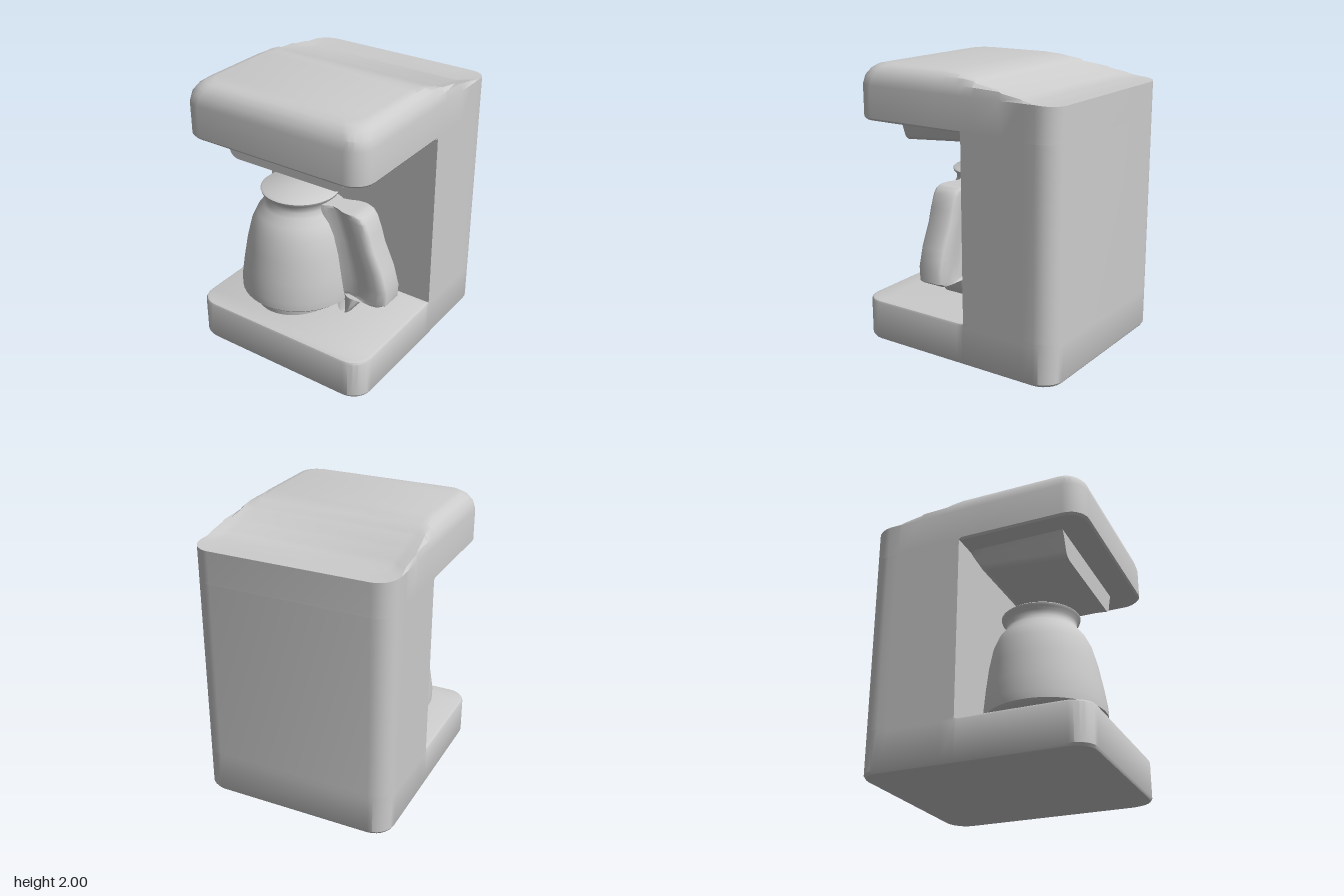
import * as THREE from 'three';
import { toCreasedNormals } from 'three/addons/utils/BufferGeometryUtils.js';

const HALF_W = 0.71, HALF_D = 0.8, CORNER = 0.14, WALL_Z = -0.1;

// Skins a stack of equal-length mirrored rings; caps join point i to its mirror twin.
function loft(rings, capBottom, capTop, crease = 0.6) {
  const pos = [];
  const tri = (a, b, c) => pos.push(...a, ...b, ...c);
  const m = rings[0].length;
  for (let r = 0; r < rings.length - 1; r++) {
    for (let i = 0; i < m; i++) {
      const j = (i + 1) % m, lo = rings[r], hi = rings[r + 1];
      tri(lo[i], lo[j], hi[j]);
      tri(lo[i], hi[j], hi[i]);
    }
  }
  const cap = (ring, keep, up) => {
    for (let i = 0; i < m / 2 - 1; i++) {
      const a = ring[i], b = ring[i + 1], c = ring[m - 2 - i], d = ring[m - 1 - i];
      if (!keep(b[2])) continue;
      if (up) { tri(a, b, c); tri(a, c, d); } else { tri(a, c, b); tri(a, d, c); }
    }
  };
  if (capBottom) cap(rings[0], capBottom, false);
  if (capTop) cap(rings[rings.length - 1], capTop, true);
  const g = new THREE.BufferGeometry();
  g.setAttribute('position', new THREE.Float32BufferAttribute(pos, 3));
  return toCreasedNormals(g, crease);
}

// Sloping, lightly stepped lid line, as [z, y] from front to back
const LID = [[0.1, 2], [-0.05, 1.983], [-0.19, 1.955], [-0.21, 1.942], [-0.4, 1.913],
  [-0.42, 1.903], [-0.56, 1.882], [-0.58, 1.874], [-0.66, 1.86], [-0.8, 1.85]];
function lidHeight(z) {
  if (z >= LID[0][0]) return 2;
  for (let i = 1; i < LID.length; i++) {
    const [z0, y0] = LID[i - 1], [z1, y1] = LID[i];
    if (z >= z1) return y0 + (y1 - y0) * (z0 - z) / (z0 - z1);
  }
  return LID[LID.length - 1][1];
}

// Half of the rounded footprint, as [x, z] from front to back
function footprint() {
  const pts = [], n = 6;
  for (let i = 0; i <= n; i++) {
    const a = i / n * Math.PI / 2;
    pts.push([HALF_W - CORNER + CORNER * Math.sin(a), HALF_D - CORNER + CORNER * Math.cos(a)]);
  }
  const back = pts.map(([x, z]) => [x, -z]).reverse();
  const mids = [...LID.slice(0, -2).map((p) => p[0]), WALL_Z, WALL_Z + 0.02].sort((a, b) => b - a);
  return [...pts, ...mids.map((z) => [HALF_W, z]), ...back];
}
const OUTLINE = footprint();

// One level of the housing, drawn in by inset (optionally only ahead of the column)
function level(y, inset, frontOnly = false) {
  const half = OUTLINE.map(([x, z]) => {
    const d = frontOnly && z <= WALL_Z + 0.001 ? 0 : inset;
    return [x * (1 - d / HALF_W), Math.min(y, lidHeight(z)), z * (1 - d / HALF_D)];
  });
  return [...half, ...half.map(([x, yy, z]) => [-x, yy, z]).reverse()];
}

export function createModel() {
  const model = new THREE.Group();
  const grey = new THREE.MeshStandardMaterial({ color: 0xcccccc });
  grey.name = 'light grey';
  const add = (name, geometry, parent = model) => {
    const mesh = new THREE.Mesh(geometry, grey);
    mesh.name = name;
    parent.add(mesh);
    return mesh;
  };
  const all = () => true;
  const ahead = (z) => z >= WALL_Z - 0.001;

  // Base plate
  add('base', loft([level(0, 0.04), level(0.012, 0.01), level(0.03, 0), level(0.29, 0),
    level(0.303, 0.006, true), level(0.31, 0.02, true)], all, ahead));

  // Rear column, open where it meets the base and the head
  const rear = OUTLINE.filter(([, z]) => z <= WALL_Z + 0.001);
  const columnRing = (y) => [...rear.map(([x, z]) => [x, y, z]),
    ...rear.map(([x, z]) => [-x, y, z]).reverse()];
  add('column', loft([columnRing(0.31), columnRing(1.62)]));

  // Overhanging head with softened edges and sloping lid
  add('head', loft([level(1.62, 0.012, true), level(1.635, 0, true), level(1.86, 0),
    level(1.92, 0.014), level(1.965, 0.045), level(1.99, 0.08), level(2, 0.125)], ahead, all, 0.5));

  // Filter basket below the head, shallower towards the back
  const front = new THREE.Shape();
  front.moveTo(-0.55, 1.63);
  front.lineTo(-0.52, 1.58);
  front.lineTo(-0.485, 1.48);
  front.quadraticCurveTo(-0.465, 1.44, -0.41, 1.44);
  front.lineTo(0.36, 1.44);
  front.quadraticCurveTo(0.41, 1.44, 0.43, 1.48);
  front.lineTo(0.465, 1.58);
  front.lineTo(0.49, 1.63);
  const basket = new THREE.ExtrudeGeometry(front, { depth: 0.7, steps: 14, bevelEnabled: false, curveSegments: 6 });
  basket.translate(0, 0, -0.1);
  const bp = basket.attributes.position;
  for (let i = 0; i < bp.count; i++) {
    const z = bp.getZ(i);
    const depth = z > 0 ? 0.74 + 0.26 * z / 0.6 : 0.74 - 0.6 * (z / 0.1) ** 2;
    bp.setY(i, 1.63 - (1.63 - bp.getY(i)) * depth);
  }
  add('filterBasket', toCreasedNormals(basket, 0.6));

  // Glass jug with rim and closed lid
  const jug = new THREE.Group();
  jug.name = 'jug';
  model.add(jug);
  const profile = [[0, 0.4], [0.395, 0.4], [0.418, 0.42], [0.42, 0.48], [0.402, 0.62], [0.377, 0.78],
    [0.345, 0.92], [0.305, 1.01], [0.262, 1.065], [0.247, 1.1], [0.25, 1.14], [0.272, 1.16],
    [0.278, 1.178], [0.265, 1.188], [0, 1.188]].map(([r, y]) => new THREE.Vector2(r, y));
  const body = new THREE.LatheGeometry(profile, 48);
  const jp = body.attributes.position;
  for (let i = 0; i < jp.count; i++) {
    jp.setZ(i, jp.getZ(i) - 0.035 * (jp.getY(i) - 0.4)); // slight lean to the back
  }
  body.translate(-0.147, 0, 0.305);
  add('jugBody', toCreasedNormals(body, 0.8), jug);

  const foot = new THREE.LatheGeometry([[0, 0.31], [0.28, 0.31], [0.3, 0.325], [0.31, 0.41]]
    .map(([r, y]) => new THREE.Vector2(r, y)), 48);
  foot.scale(1, 1, 1.2);
  foot.translate(-0.147, 0, 0.29);
  add('jugFoot', toCreasedNormals(foot, 0.6), jug);

  // Handle: rows of [y, inner x, outer x], with a shallow hollow beside the jug
  const rows = [[0.325, 0.25, 0.3], [0.345, 0.235, 0.325], [0.4, 0.22, 0.35], [0.465, 0.18, 0.365],
    [0.472, 0.16, 0.57], [0.5, 0.16, 0.615], [0.6, 0.16, 0.62], [0.67, 0.15, 0.6], [0.74, 0.14, 0.58],
    [0.9, 0.12, 0.505], [1.0, 0.08, 0.475], [1.09, 0.05, 0.44], [1.125, 0.05, 0.41], [1.14, 0.05, 0.37]];
  const depths = [[0, 0.1], [0.2, 0.09], [0.35, 0.065], [0.5, 0.075], [0.68, 0.098], [0.85, 0.104], [0.96, 0.095], [1, 0.075]];
  add('jugHandle', loft(rows.map(([y, x0, x1]) => {
    const side = (s) => depths.map(([u, d]) => [x0 + (x1 - x0) * u, y, 0.263 + s * d]);
    return [...side(1), ...side(-1).reverse()];
  }), all, all, 0.8), jug);

  return model;
}
